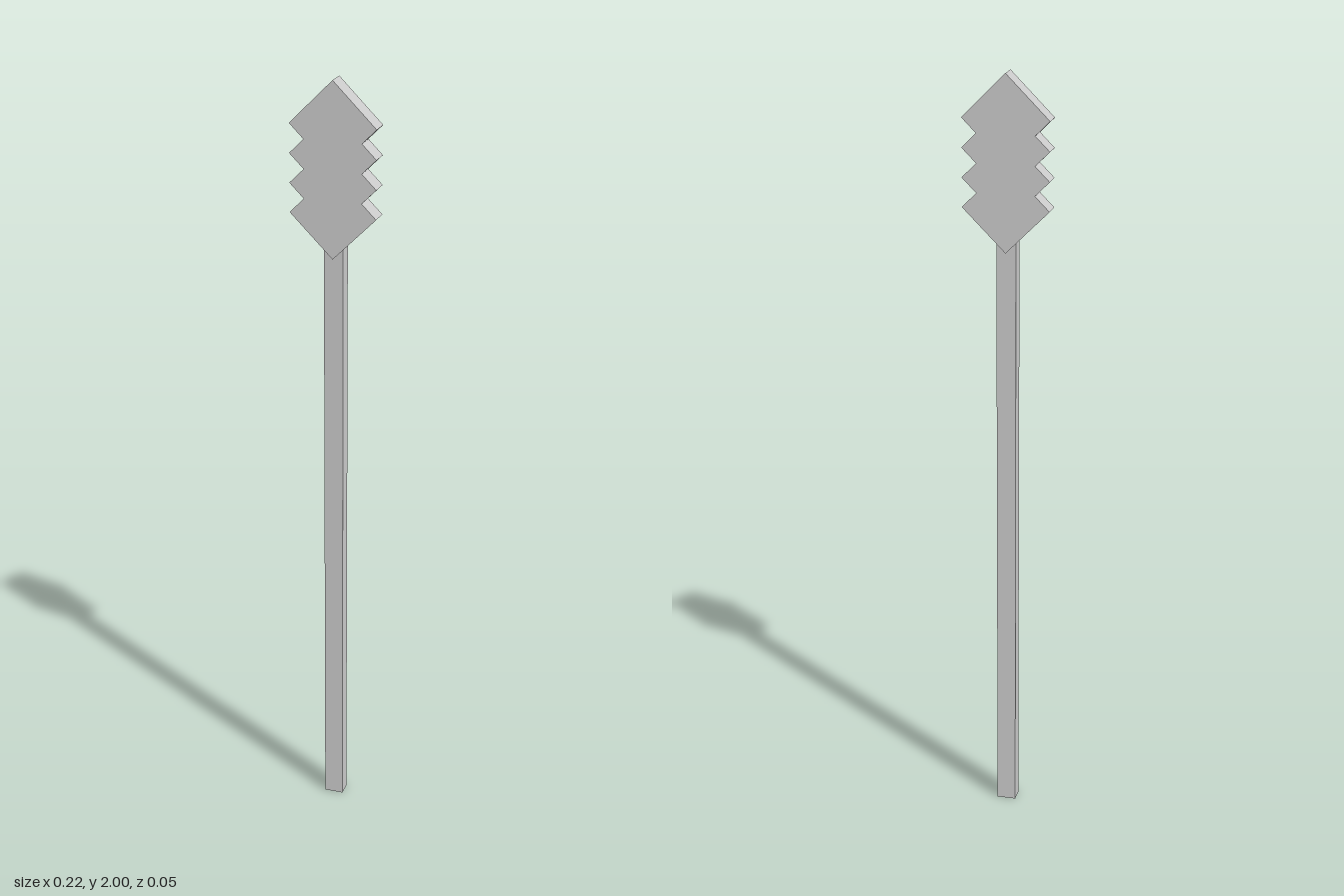
import * as THREE from 'three';

export function createModel() {
  const group = new THREE.Group();
  const material = new THREE.MeshStandardMaterial({ color: 0xcccccc, flatShading: true });

  // Square-cut shaft, its top sunk inside the head
  const shaftHeight = 1.6;
  const shaft = new THREE.Mesh(new THREE.BoxGeometry(0.05, shaftHeight, 0.037), material);
  shaft.name = 'shaft';
  shaft.position.y = shaftHeight / 2;
  group.add(shaft);

  // Barbed head: a 45-degree outline with four teeth on each side
  const unit = 1 / 27, halfWidth = 3 * unit, depth = 0.052, teeth = 4;
  const side = [];
  for (let i = 0; i < teeth; i++) {
    const y = 2 - halfWidth - i * 2 * unit;
    side.push([halfWidth, y]);
    if (i < teeth - 1) side.push([halfWidth - unit, y - unit]);
  }
  const bottom = 2 - 2 * halfWidth - (teeth - 1) * 2 * unit;
  const mirrored = side.map(([x, y]) => [-x, y]);
  const outline = [[0, 2], ...mirrored, [0, bottom], ...side.reverse()];
  const shape = new THREE.Shape(outline.map(([x, y]) => new THREE.Vector2(x, y)));
  const headGeometry = new THREE.ExtrudeGeometry(shape, { depth, bevelEnabled: false });
  headGeometry.translate(0, 0, -depth / 2);
  const head = new THREE.Mesh(headGeometry, material);
  head.name = 'barbedHead';
  group.add(head);

  return group;
}
